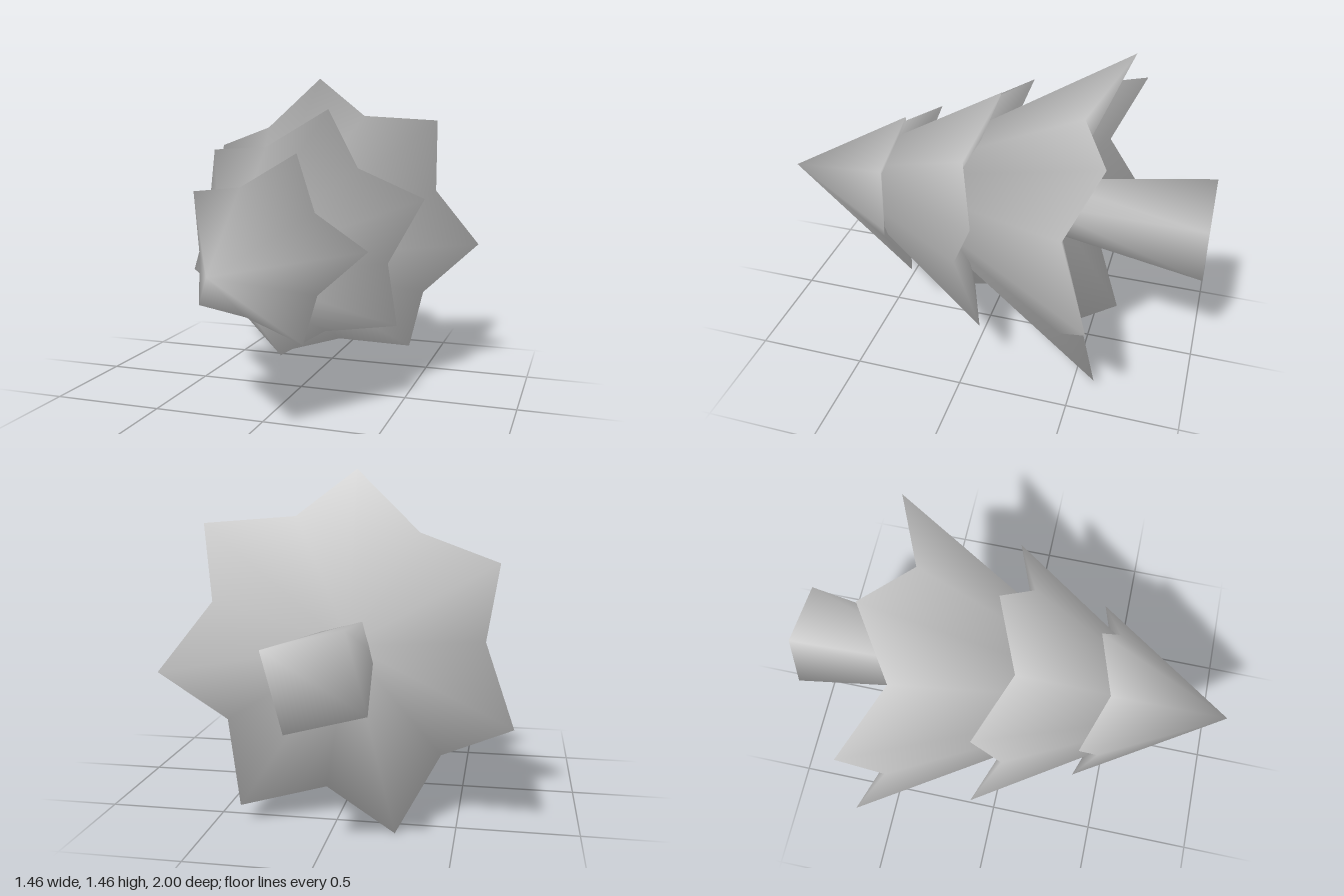
import * as THREE from 'three';

const needles = new THREE.MeshStandardMaterial({ color: 0xcccccc });
needles.name = 'pale grey';

// Closed smooth solid; each vertex normal is the plain mean of its face normals.
function smoothSolid(points, faces) {
  const normals = points.map(() => new THREE.Vector3());
  for (const f of faces) {
    const [a, b, c] = f.map((i) => points[i]);
    const n = b.clone().sub(a).cross(c.clone().sub(a)).normalize();
    f.forEach((i) => normals[i].add(n));
  }
  const g = new THREE.BufferGeometry();
  g.setAttribute('position', new THREE.Float32BufferAttribute(points.flatMap((p) => p.toArray()), 3));
  g.setAttribute('normal', new THREE.Float32BufferAttribute(normals.flatMap((n) => n.normalize().toArray()), 3));
  g.setIndex(faces.flat());
  return g;
}

const polar = (r, deg, z) => {
  const a = THREE.MathUtils.degToRad(deg);
  return new THREE.Vector3(r * Math.cos(a), r * Math.sin(a), z);
};

// Star-rimmed cone along z: tips hang back, notches sit forward, underside is hollow.
function tierGeometry({ tips, start, apexZ, tipR, tipZ, notchR, notchZ, hollowZ }) {
  const n = tips * 2;
  const points = [new THREE.Vector3(0, 0, apexZ), new THREE.Vector3(0, 0, hollowZ)];
  const faces = [];
  for (let i = 0; i < n; i++) {
    const deg = start + (i * 360) / n;
    points.push(i % 2 ? polar(notchR, deg, notchZ) : polar(tipR, deg, tipZ));
    const a = 2 + i, b = 2 + ((i + 1) % n);
    faces.push([0, a, b], [1, b, a]);
  }
  return smoothSolid(points, faces);
}

// Four-sided trunk, wider at the foot, its top hidden inside the lowest tier.
function trunkGeometry() {
  const points = [], faces = [];
  for (let i = 0; i < 4; i++) {
    points.push(polar(0.226, 30 + i * 90, -1), polar(0.108, 30 + i * 90, -0.2));
    const a = i * 2, b = ((i + 1) % 4) * 2;
    faces.push([a, b, b + 1], [a, b + 1, a + 1]);
  }
  faces.push([0, 4, 2], [0, 6, 4]); // foot
  faces.push([1, 3, 5], [1, 5, 7]); // top
  return smoothSolid(points, faces);
}

export function createModel() {
  const tree = new THREE.Group();
  tree.name = 'lyingPineTree';
  const add = (name, geometry) => {
    const mesh = new THREE.Mesh(geometry, needles);
    mesh.name = name;
    mesh.position.set(-0.015, 0.712, 0);
    tree.add(mesh);
  };

  add('trunk', trunkGeometry());
  add('lowerBranches', tierGeometry({
    tips: 7, start: 96.8, apexZ: 0.62, tipR: 0.752, tipZ: -0.6, notchR: 0.59, notchZ: -0.45, hollowZ: -0.3,
  }));
  add('middleBranches', tierGeometry({
    tips: 6, start: 78.7, apexZ: 0.87, tipR: 0.605, tipZ: -0.08, notchR: 0.445, notchZ: 0.04, hollowZ: 0.16,
  }));
  add('topBranches', tierGeometry({
    tips: 5, start: 74, apexZ: 1, tipR: 0.43, tipZ: 0.36, notchR: 0.29, notchZ: 0.45, hollowZ: 0.54,
  }));
  return tree;
}
